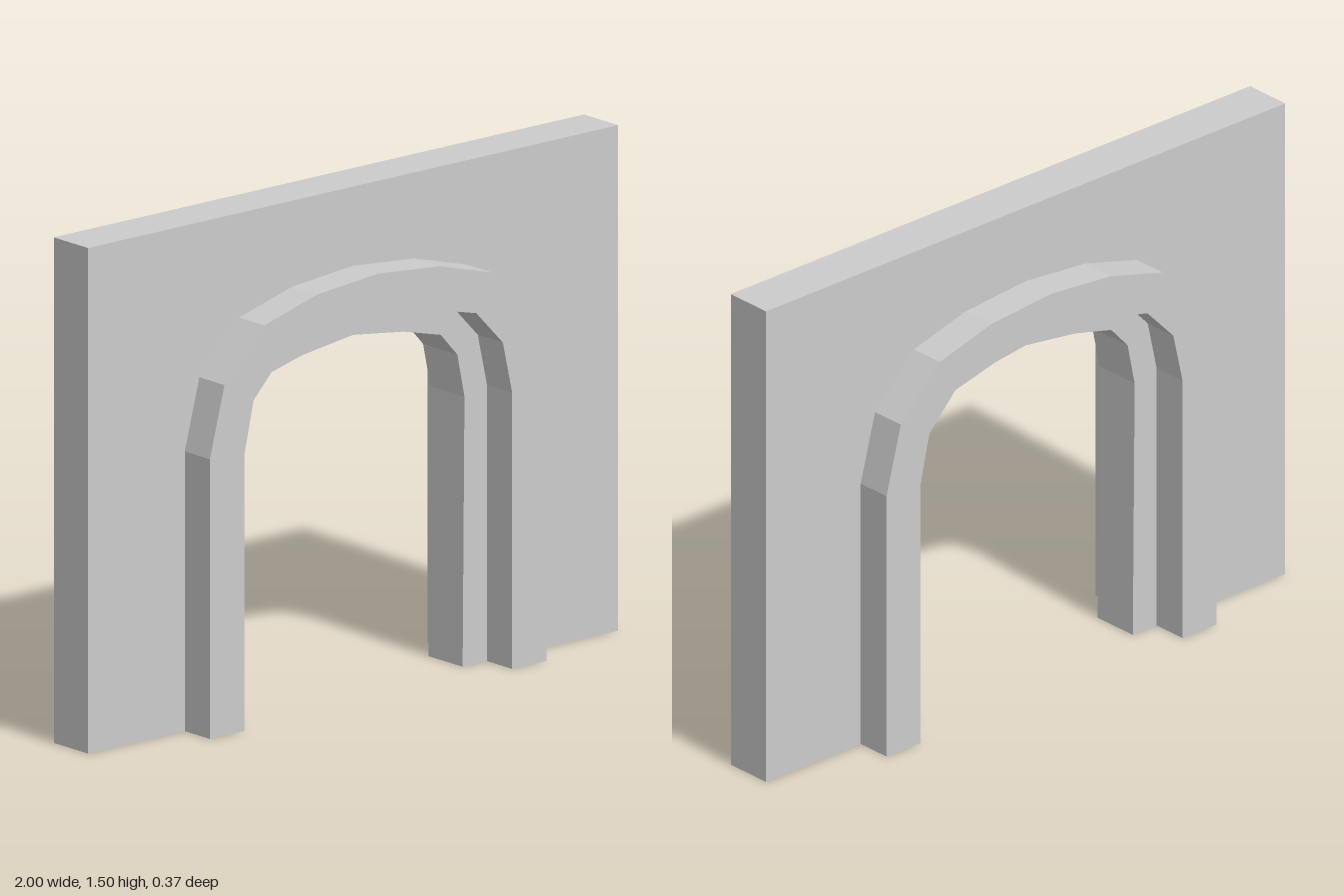
import * as THREE from 'three';

const WALL_Z = 0.075, TRIM_Z = 0.185;

// Half profiles, from the right foot up to the crown
const OUTER = [[0.635, 0], [0.635, 0.83], [0.58, 1.04], [0.43, 1.19], [0.23, 1.245], [0, 1.265]];
const INNER = [[0.505, 0], [0.505, 0.82], [0.47, 0.975], [0.37, 1.08], [0.2, 1.122], [0, 1.145]];
const SOFFIT = [[0.413, 0], [0.42, 0.8], [0.393, 0.93], [0.33, 1.0], [0.19, 1.035], [0, 1.06]];
const WALL = [[1, 0], [1, 1.5], [0, 1.5]];

// Full path from the left-hand foot (-x) over the crown to the +x foot
const mirror = (half) => [...half.map(([x, y]) => [-x, y]), ...half.slice(0, -1).reverse()];

const material = new THREE.MeshStandardMaterial({
  color: 0xcccccc, flatShading: true, side: THREE.DoubleSide,
});

function addMesh(group, name, geometry) {
  const mesh = new THREE.Mesh(geometry, material);
  mesh.name = name;
  group.add(mesh);
  return mesh;
}

// Skin between successive rings, each ring being [half profile, z]
function skin(rings) {
  const loops = rings.map(([half, z]) => mirror(half).map(([x, y]) => [x, y, z]));
  const pos = [];
  for (let j = 0; j < loops.length - 1; j++) {
    const a = loops[j], b = loops[j + 1];
    for (let i = 0; i < a.length - 1; i++) {
      pos.push(...a[i], ...b[i], ...a[i + 1], ...b[i], ...b[i + 1], ...a[i + 1]);
    }
  }
  const geometry = new THREE.BufferGeometry();
  geometry.setAttribute('position', new THREE.Float32BufferAttribute(pos, 3));
  geometry.computeVertexNormals();
  return geometry;
}

export function createModel() {
  const model = new THREE.Group();
  model.name = 'archway';

  // Wall: top and ends, underside left open
  addMesh(model, 'wallEdges', skin([[WALL, -WALL_Z], [WALL, WALL_Z]]));

  // Wall faces, cut out around the arch
  const outline = [...mirror(WALL), ...mirror(OUTER).reverse()];
  const face = new THREE.ShapeGeometry(
    new THREE.Shape(outline.map(([x, y]) => new THREE.Vector2(x, y))));
  face.translate(0, 0, WALL_Z);

  // Raised trim with its inner step
  const trim = skin([
    [OUTER, WALL_Z], [OUTER, TRIM_Z], [INNER, TRIM_Z], [INNER, WALL_Z], [SOFFIT, WALL_Z],
  ]);

  for (const side of ['front', 'back']) {
    const half = new THREE.Group();
    half.name = side + 'Side';
    addMesh(half, side + 'WallFace', face);
    addMesh(half, side + 'ArchTrim', trim);
    if (side === 'back') half.rotation.y = Math.PI;
    model.add(half);
  }

  // Lining of the opening
  addMesh(model, 'archSoffit', skin([[SOFFIT, WALL_Z], [SOFFIT, -WALL_Z]]));

  return model;
}
